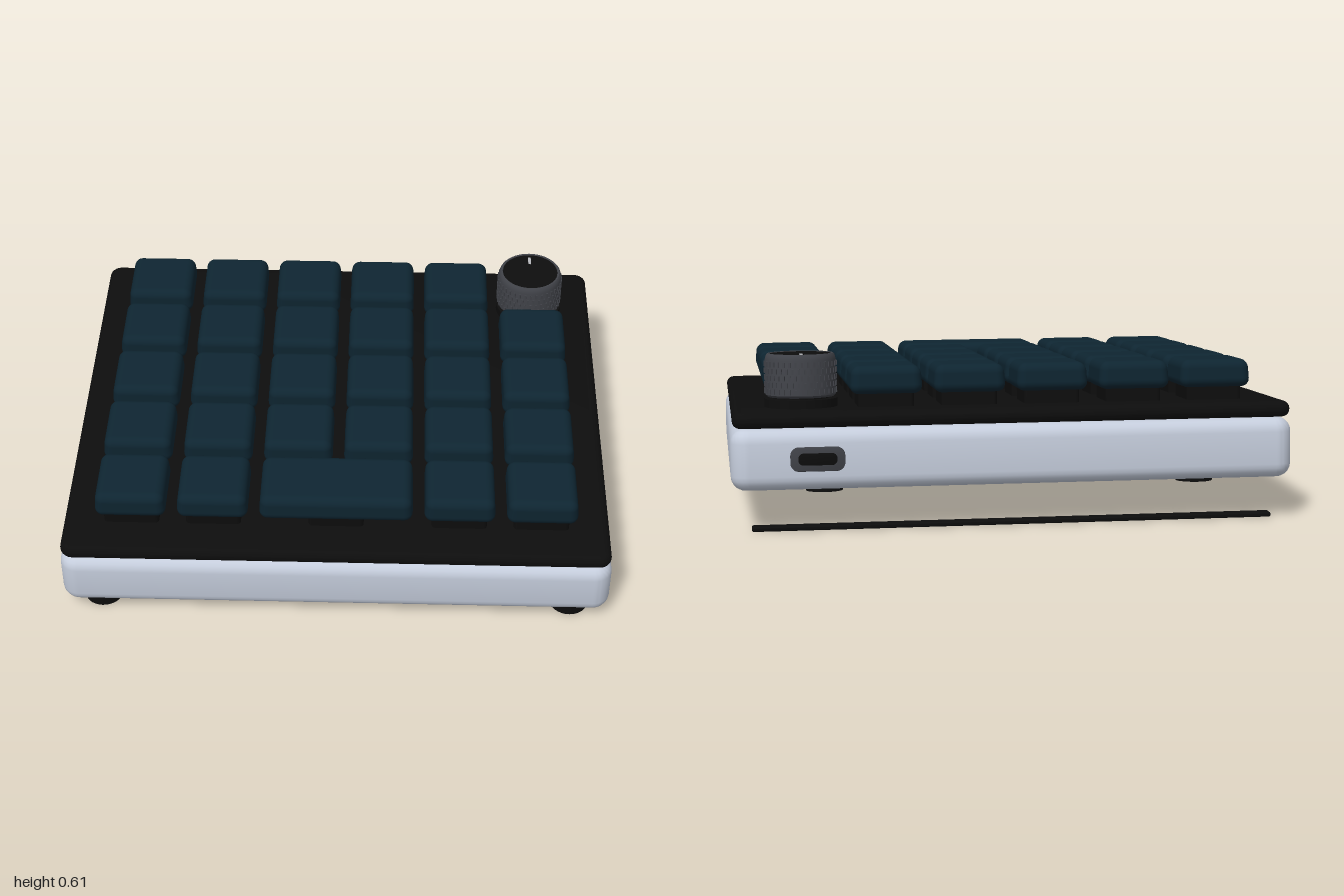
import * as THREE from 'three';
import { toCreasedNormals } from 'three/addons/utils/BufferGeometryUtils.js';
import { RoundedBoxGeometry } from 'three/addons/geometries/RoundedBoxGeometry.js';

const paint = (name, color) => {
  const m = new THREE.MeshStandardMaterial({ color });
  m.name = name;
  return m;
};

// Rounded rectangle slab lying flat, with rounded top and bottom edges
function slab(w, h, d, corner, bevel) {
  const x = w / 2, y = d / 2, r = corner;
  const s = new THREE.Shape();
  s.moveTo(-x + r, -y);
  s.lineTo(x - r, -y).absarc(x - r, -y + r, r, -Math.PI / 2, 0);
  s.lineTo(x, y - r).absarc(x - r, y - r, r, 0, Math.PI / 2);
  s.lineTo(-x + r, y).absarc(-x + r, y - r, r, Math.PI / 2, Math.PI);
  s.lineTo(-x, -y + r).absarc(-x + r, -y + r, r, Math.PI, Math.PI * 1.5);
  const g = new THREE.ExtrudeGeometry(s, {
    depth: h - 2 * bevel, bevelThickness: bevel, bevelSize: bevel,
    bevelOffset: -bevel, bevelSegments: 5, curveSegments: 6,
  });
  g.rotateX(-Math.PI / 2);
  g.center();
  return toCreasedNormals(g, 0.6);
}

// Keycap that narrows slightly towards the top
function keycapGeometry(w) {
  const h = 0.1, d = 0.26;
  const g = new RoundedBoxGeometry(w, h, d, 4, 0.032);
  const p = g.attributes.position;
  for (let i = 0; i < p.count; i++) {
    const inset = 0.007 * (p.getY(i) / h + 0.5);
    p.setX(i, p.getX(i) * (1 - inset / (w / 2)));
    p.setZ(i, p.getZ(i) * (1 - inset / (d / 2)));
  }
  return g;
}

export function createModel() {
  const silver = paint('silver case', 0xc5cddc);
  const black = paint('black', 0x0d0d0d);
  const navy = paint('navy keycap', 0x0e2531);
  const grey = paint('dark grey metal', 0x404248);
  const light = paint('light grey mark', 0xb4b6ba);

  const model = new THREE.Group();
  model.name = 'keypad';
  const body = new THREE.Group();
  body.name = 'tiltedBody';
  body.position.y = 0.205;
  body.rotation.x = 0.068;
  model.add(body);

  const add = (parent, name, geometry, material, x, y, z) => {
    const m = new THREE.Mesh(geometry, material);
    m.name = name;
    m.position.set(x, y, z);
    parent.add(m);
    return m;
  };

  // Case and top plate
  add(body, 'case', slab(2, 0.215, 1.69, 0.065, 0.05), silver, 0, 0, 0);
  add(body, 'topPlate', slab(1.985, 0.056, 1.68, 0.045, 0.026), black, 0, 0.138, 0);

  // Keys on their switches; the top left corner belongs to the knob
  const pitch = 0.2975;
  const single = keycapGeometry(0.26);
  const wide = keycapGeometry(0.26 + pitch);
  const housing = new RoundedBoxGeometry(0.2, 0.09, 0.2, 2, 0.015);
  const addKey = (geometry, col, row) => {
    const key = new THREE.Group();
    key.name = 'key';
    key.position.set((col - 2.5) * pitch, 0, (row - 2) * pitch);
    add(key, 'switchHousing', housing, black, 0, 0.19, 0);
    add(key, 'keycap', geometry, navy, 0, 0.262, 0);
    body.add(key);
  };
  for (let row = 0; row < 5; row++) {
    for (let col = 0; col < 6; col++) {
      if (row === 0 && col === 5) continue;
      if (row === 4 && (col === 2 || col === 3)) continue;
      addKey(single, col, row);
    }
  }
  addKey(wide, 2.5, 4);

  // Rotary knob
  const knob = new THREE.Group();
  knob.name = 'knob';
  knob.position.set(2.5 * pitch, 0, -2 * pitch);
  body.add(knob);
  add(knob, 'knobBase', new THREE.CylinderGeometry(0.13, 0.13, 0.032, 48), black, 0, 0.18, 0);
  add(knob, 'knobStem', new THREE.CylinderGeometry(0.1, 0.1, 0.03, 32), black, 0, 0.2, 0);
  const profile = [[0, 0.202], [0.118, 0.202], [0.126, 0.21], [0.126, 0.335], [0.122, 0.35],
    [0.117, 0.356], [0.111, 0.356], [0.109, 0.351], [0, 0.351]].map(([r, y]) => new THREE.Vector2(r, y));
  add(knob, 'knobBody', toCreasedNormals(new THREE.LatheGeometry(profile, 48), 0.6), grey, 0, 0, 0);
  add(knob, 'knobTop', new THREE.CylinderGeometry(0.109, 0.109, 0.004, 48), black, 0, 0.352, 0);
  add(knob, 'knobMark', new THREE.BoxGeometry(0.011, 0.005, 0.042), light, 0, 0.3535, -0.07);

  // Staggered knurling around the knob
  const bump = new THREE.BoxGeometry(0.007, 0.018, 0.008);
  for (let row = 0; row < 5; row++) {
    for (let i = 0; i < 36; i++) {
      const a = ((i + (row % 2) / 2) / 36) * Math.PI * 2;
      const b = add(knob, 'knurl', bump, grey, Math.sin(a) * 0.126, 0.224 + row * 0.024, Math.cos(a) * 0.126);
      b.rotation.y = a;
    }
  }

  // Cable port in the back wall
  const frame = slab(0.19, 0.012, 0.085, 0.03, 0.002).rotateX(Math.PI / 2);
  const opening = slab(0.135, 0.008, 0.042, 0.018, 0.001).rotateX(Math.PI / 2);
  add(body, 'portFrame', frame, grey, 0.7, 0.003, -0.844);
  add(body, 'portOpening', opening, black, 0.7, 0.003, -0.848);

  // Feet
  const frontFoot = new THREE.CylinderGeometry(0.073, 0.07, 0.05, 32);
  const rearFoot = new THREE.CylinderGeometry(0.066, 0.066, 0.022, 32);
  for (const side of [-1, 1]) {
    add(body, 'frontFoot', frontFoot, black, side * 0.86, -0.125, 0.742);
    add(body, 'rearFoot', rearFoot, black, side * 0.67, -0.115, -0.683);
  }

  // Level support bar under the back
  add(model, 'supportBar', new RoundedBoxGeometry(1.86, 0.017, 0.045, 2, 0.006), black, 0, 0.012, -0.78);

  return model;
}
